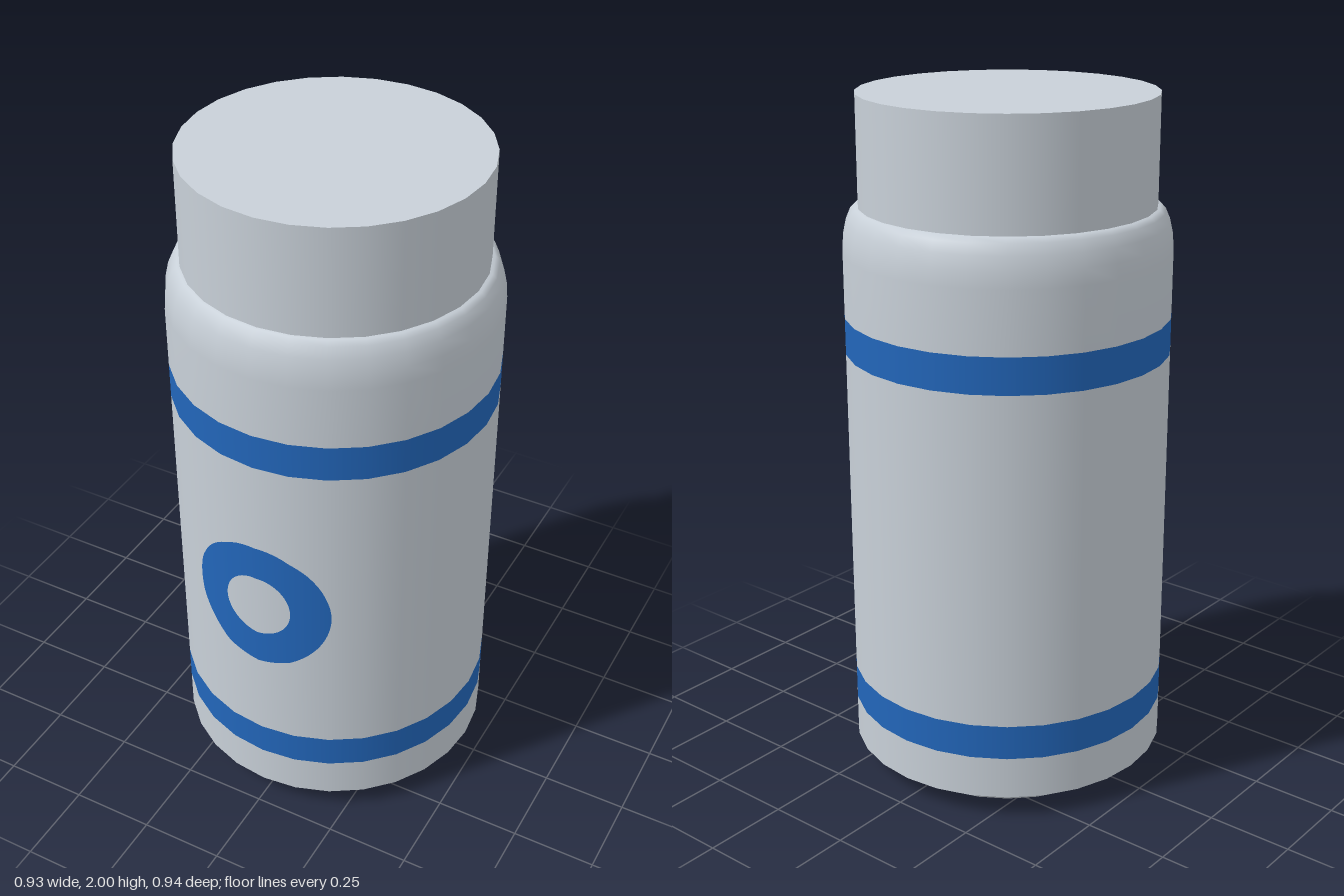
import * as THREE from 'three';

const SIDES = 28, RADIUS = 0.467;

export function createModel() {
  const group = new THREE.Group();
  const metal = new THREE.MeshStandardMaterial({ color: 0xc8d0d8 });
  metal.name = 'pale grey metal';
  const blue = new THREE.MeshStandardMaterial({ color: 0x2266ba });
  blue.name = 'blue paint';

  const add = (name, geometry, material) => {
    const mesh = new THREE.Mesh(geometry, material);
    mesh.name = name;
    group.add(mesh);
  };
  const lathe = (...points) =>
    new THREE.LatheGeometry(points.map(([r, y]) => new THREE.Vector2(r, y)), SIDES);
  const wall = (y0, y1) => lathe([RADIUS, y0], [RADIUS, y1]);

  // Chamfered base, shaded smoothly across its underside
  add('base', lathe([0, 0], [0.37, 0], [RADIUS, 0.065]), metal);

  // Straight wall, divided into metal bands and painted stripes
  add('lowerWall', wall(0.065, 0.19), metal);
  add('lowerStripe', wall(0.19, 0.293), blue);
  add('middleWall', wall(0.293, 1.275), metal);
  add('upperStripe', wall(1.275, 1.38), blue);

  // Upper wall with rounded shoulder
  add('shoulder', lathe([RADIUS, 1.38], [RADIUS, 1.56], [0.463, 1.605],
    [0.454, 1.645], [0.441, 1.675], [0.428, 1.687], [0.41, 1.69]), metal);

  // Flat-topped cap
  const cap = new THREE.CylinderGeometry(0.42, 0.42, 0.315, SIDES);
  cap.translate(0, 1.8425, 0);
  add('cap', cap, metal);

  // Painted ring, wrapped onto the facets of the front wall
  const ring = new THREE.RingGeometry(0.102, 0.212, 64, 8);
  const pos = ring.attributes.position, normal = ring.attributes.normal;
  const step = (Math.PI * 2) / SIDES;
  for (let i = 0; i < pos.count; i++) {
    const x = pos.getX(i);
    const facet = Math.floor(Math.asin(Math.abs(x) / RADIUS) / step);
    const a = facet * step, b = a + step;
    const t = (Math.abs(x) / RADIUS - Math.sin(a)) / (Math.sin(b) - Math.sin(a));
    const z = RADIUS * THREE.MathUtils.lerp(Math.cos(a), Math.cos(b), t);
    const length = Math.hypot(x, z);
    pos.setZ(i, z + 0.003);
    normal.setXYZ(i, x / length, 0, z / length);
  }
  ring.translate(0, 0.785, 0);
  add('frontRing', ring, blue);

  return group;
}
